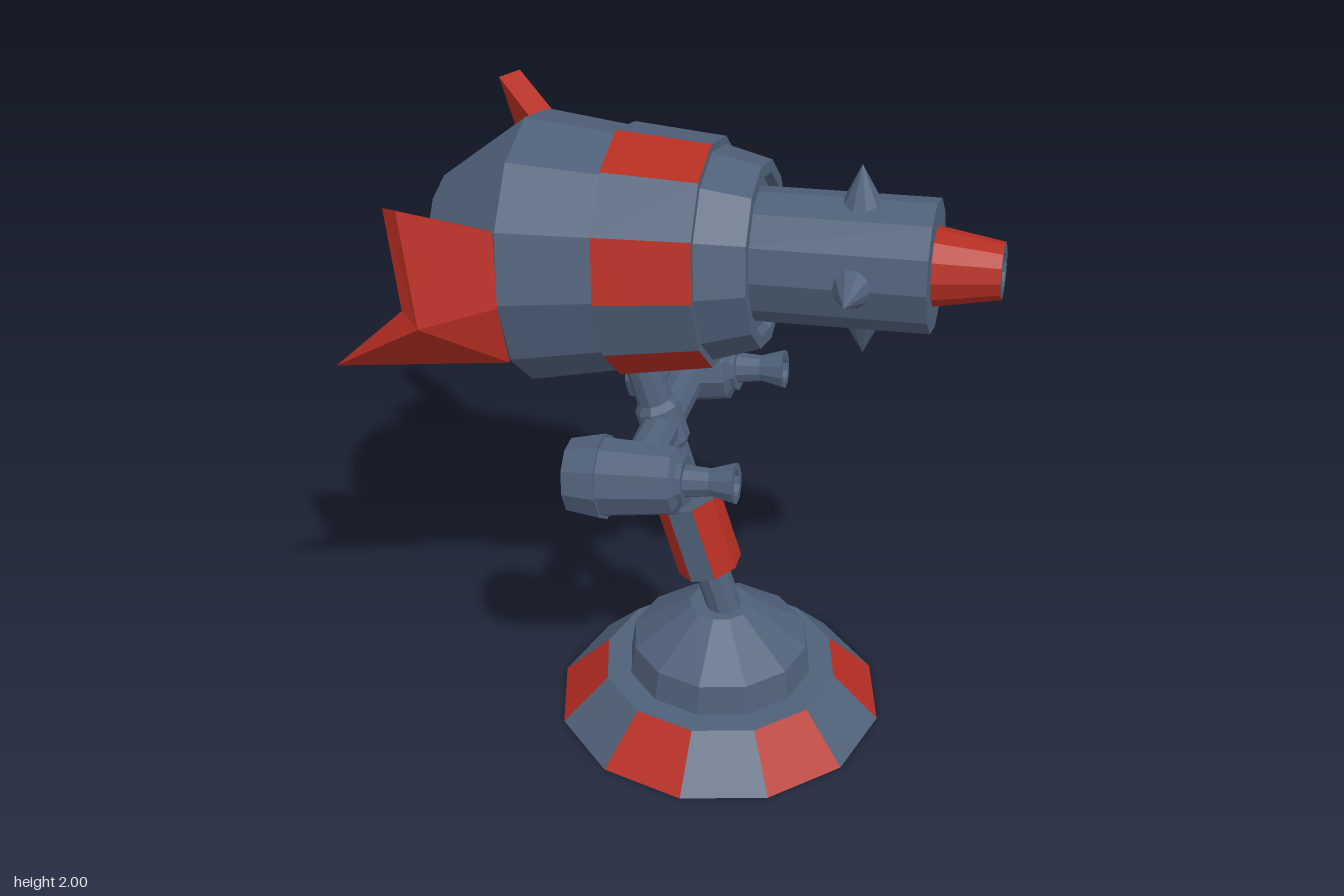
import * as THREE from 'three';

const slate = new THREE.MeshStandardMaterial({ color: 0x4f6078, flatShading: true });
const red = new THREE.MeshStandardMaterial({ color: 0xb52d22, flatShading: true });

function addMesh(parent, name, geometry, material) {
  const flat = geometry.index ? geometry.toNonIndexed() : geometry;
  flat.computeVertexNormals();
  const mesh = new THREE.Mesh(flat, material);
  mesh.name = name;
  parent.add(mesh);
  return mesh;
}

function addGroup(parent, name, x, y, z, tilt) {
  const group = new THREE.Group();
  group.name = name;
  group.position.set(x, y, z);
  group.rotation.z = tilt;
  parent.add(group);
  return group;
}

// Faceted turned part; profile is [radius, height] pairs running upwards
function turned(parent, name, profile, sides, material) {
  const points = profile.map(([r, h]) => new THREE.Vector2(r, h));
  return addMesh(parent, name, new THREE.LatheGeometry(points, sides), material);
}

// Turned part split into separately coloured panels
function panelled(parent, name, profile, sides, isRed, startAngle = 0) {
  const points = profile.map(([r, h]) => new THREE.Vector2(r, h));
  const step = (Math.PI * 2) / sides;
  const group = addGroup(parent, name, 0, 0, 0, 0);
  for (let i = 0; i < sides; i++) {
    const geometry = new THREE.LatheGeometry(points, 1, startAngle + i * step, step);
    addMesh(group, name + 'Panel', geometry, isRed(i) ? red : slate);
  }
  return group;
}

// Folded tail fin with a chevron outer edge; side is +1 or -1 along z
function addFin(parent, side) {
  // top tip, top root, middle root, bottom root, bottom tip, middle tip
  const outer = [
    [-0.68, 1.925, 0.525], [-0.47, 1.81, 0.36], [-0.45, 1.6, 0.41],
    [-0.44, 1.4, 0.36], [-0.91, 1.405, 0.505], [-0.62, 1.6, 0.58],
  ];
  const inner = [
    [-0.735, 1.91, 0.485], [-0.52, 1.79, 0.31], [-0.5, 1.6, 0.35],
    [-0.5, 1.4, 0.29], [-0.88, 1.42, 0.475], [-0.68, 1.63, 0.54],
  ];
  const points = [...outer, ...inner].map(([x, y, z]) => [x, y, z * side]);
  const quads = [[0, 5, 2, 1], [5, 4, 3, 2], [6, 7, 8, 11], [11, 8, 9, 10]];
  for (let i = 0; i < 6; i++) {
    const j = (i + 1) % 6;
    quads.push([i, j, j + 6, i + 6]);
  }
  const index = [];
  for (const [a, b, c, d] of quads) {
    if (side > 0) index.push(a, b, c, a, c, d);
    else index.push(a, c, b, a, d, c);
  }
  const geometry = new THREE.BufferGeometry();
  geometry.setAttribute('position', new THREE.Float32BufferAttribute(points.flat(), 3));
  geometry.setIndex(index);
  addMesh(parent, side > 0 ? 'frontFin' : 'backFin', geometry, red);
}

export function createModel() {
  const model = new THREE.Group();
  model.name = 'mountedCannon';
  const odd = (i) => i % 2 === 1;

  // Stepped base with alternating skirt panels
  const base = addGroup(model, 'base', 0.1, 0, -0.01, 0);
  panelled(base, 'skirt', [[0.53, 0], [0.38, 0.15]], 12, odd);
  turned(base, 'underside', [[0, 0], [0.53, 0]], 12, slate);
  turned(base, 'dome', [[0.38, 0.15], [0.3, 0.15], [0.285, 0.25], [0.1, 0.38], [0, 0.38]], 12, slate);

  // Leaning pole, collar and joint
  const pole = addGroup(model, 'pole', 0.03, 0.655, 0, 0.294);
  turned(pole, 'poleShaft', [[0.055, -0.35], [0.055, 0.75]], 10, slate);
  const collarEdge = 0.13;
  panelled(pole, 'collar', [[0.103, -collarEdge], [0.103, collarEdge]], 8, (i) => i !== 0, -Math.PI / 8);
  turned(pole, 'collarBottom', [[0, -collarEdge], [0.103, -collarEdge]], 8, slate).rotation.y = -Math.PI / 8;
  turned(pole, 'collarTop', [[0.103, collarEdge], [0, collarEdge]], 8, slate).rotation.y = -Math.PI / 8;
  const joint = turned(pole, 'joint',
    [[0.05, -0.09], [0.07, -0.06], [0.07, 0.06], [0.05, 0.09]], 10, slate);
  joint.position.y = 0.4;

  // Crossbar carrying the two side guns
  const bar = turned(model, 'crossbar', [[0.06, -0.3], [0.06, 0.3]], 10, slate);
  bar.rotation.x = Math.PI / 2;
  bar.position.set(-0.085, 1.035, -0.01);
  for (const side of [1, -1]) {
    const gun = addGroup(model, side > 0 ? 'frontSideGun' : 'backSideGun',
      -0.07, 1.045, -0.01 + side * 0.34, 0.1 - Math.PI / 2);
    turned(gun, 'gunHousing', [[0, -0.205], [0.112, -0.205], [0.13, -0.1], [0.12, -0.1],
      [0.103, 0.115], [0.075, 0.13], [0.075, 0.145], [0.05, 0.145]], 10, slate);
    turned(gun, 'gunMuzzle', [[0.05, 0.14], [0.042, 0.22], [0.062, 0.295], [0.04, 0.295],
      [0.032, 0.2], [0, 0.2]], 10, slate);
  }

  // Main body, turned about its long axis
  const body = addGroup(model, 'body', -0.455, 1.602, 0, 0.075 - Math.PI / 2);
  turned(body, 'rearShell', [[0, -0.34], [0.21, -0.275], [0.4, 0], [0.357, 0.27]], 12, slate);
  turned(body, 'bandRearRim', [[0.35, 0.268], [0.37, 0.268]], 12, slate);
  panelled(body, 'band', [[0.37, 0.268], [0.335, 0.545]], 12, odd);
  turned(body, 'neck', [[0.335, 0.545], [0.312, 0.545], [0.272, 0.685], [0.235, 0.685],
    [0.225, 0.66], [0.18, 0.66]], 12, slate);

  // Barrel with tapered muzzle
  const barrel = addGroup(model, 'barrel', 0.215, 1.648, -0.012, 0.045 - Math.PI / 2);
  turned(barrel, 'barrelTube', [[0.195, -0.04], [0.193, 0.5], [0.1, 0.5]], 12, slate);
  turned(barrel, 'muzzleCone', [[0.115, 0.5], [0.082, 0.69]], 12, red);
  turned(barrel, 'muzzleBore', [[0.082, 0.69], [0.052, 0.69], [0.052, 0.58], [0, 0.58]], 12, slate);

  // Four spikes around the barrel
  for (let i = 0; i < 4; i++) {
    const arm = new THREE.Group();
    arm.name = 'spike' + (i + 1);
    arm.position.y = 0.29;
    arm.rotation.y = (i * Math.PI) / 2;
    barrel.add(arm);
    const spike = turned(arm, 'spikeCone', [[0.06, 0], [0, 0.12]], 10, slate);
    spike.rotation.x = Math.PI / 2;
    spike.position.z = 0.178;
  }

  // Tail fins
  addFin(model, 1);
  addFin(model, -1);
  return model;
}
